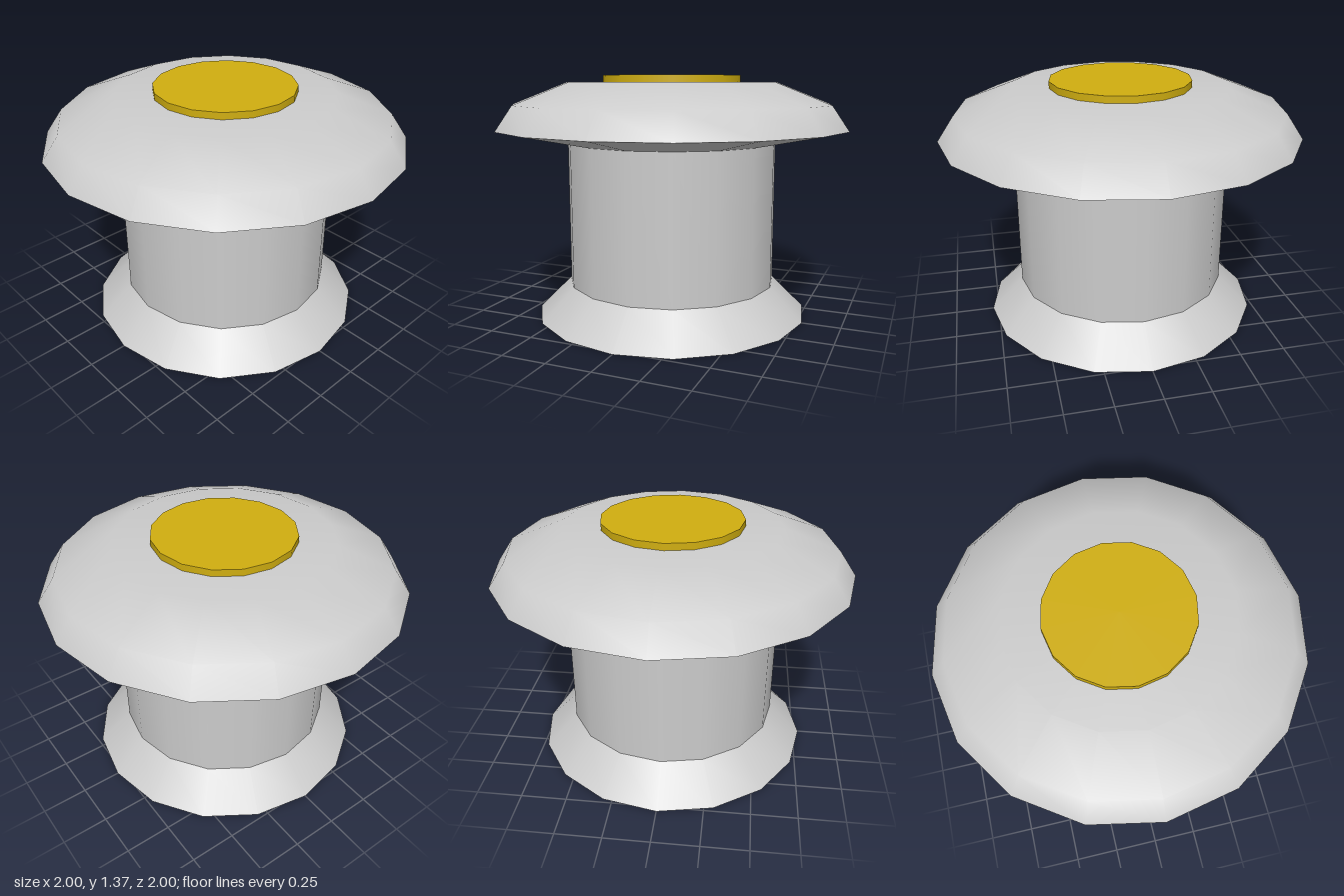
import * as THREE from 'three';

const SIDES = 16;

// Turned surface from a [radius, height] profile, listed so its outside faces out
function turned(name, profile, material) {
  const points = profile.map(([r, y]) => new THREE.Vector2(r, y));
  const mesh = new THREE.Mesh(new THREE.LatheGeometry(points, SIDES), material);
  mesh.name = name;
  return mesh;
}

export function createModel() {
  const group = new THREE.Group();
  group.name = 'mushroomPost';
  const grey = new THREE.MeshStandardMaterial({ color: 0xcccccc });
  const yellow = new THREE.MeshStandardMaterial({ color: 0xd0ae10 });

  // Separate bands keep the creases sharp; each band is smooth in itself
  group.add(
    turned('baseBottom', [[0, 0], [0.785, 0]], grey),
    turned('baseFlare', [[0.785, 0], [0.6, 0.185]], grey),
    turned('post', [[0.6, 0.185], [0.6, 0.993]], grey),
    turned('capUnderside', [[0.6, 0.993], [1, 1.073]], grey),
    turned('cap', [[1, 1.073], [0.907, 1.208], [0.6, 1.33], [0, 1.33]], grey)
  );

  // Flat button on the cap
  const button = new THREE.Mesh(new THREE.CylinderGeometry(0.392, 0.392, 0.04, SIDES), yellow);
  button.name = 'topButton';
  button.position.y = 1.348;
  group.add(button);

  return group;
}
